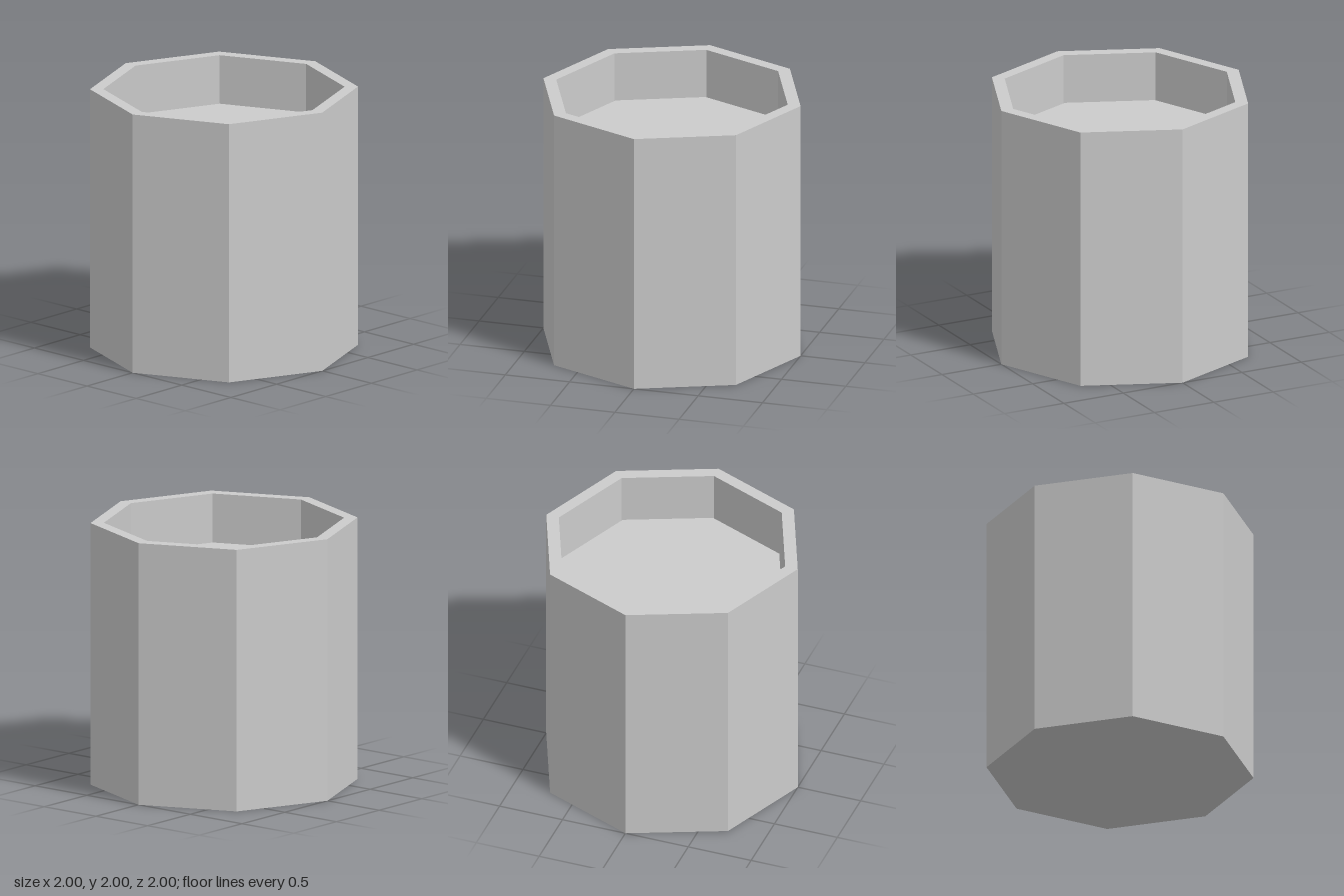
import * as THREE from 'three';

const SIDES = 8;

export function createModel() {
  const group = new THREE.Group();
  const material = new THREE.MeshStandardMaterial({ color: 0xcccccc, flatShading: true });

  // Octagonal cup: underside, outer wall, rim, inner wall, floor
  const profile = [[0, 0], [1, 0], [1, 2], [0.9, 2], [0.9, 0.1], [0, 0.1]]
    .map(([r, y]) => new THREE.Vector2(r, y));
  const cup = new THREE.Mesh(new THREE.LatheGeometry(profile, SIDES), material);
  cup.name = 'cup';
  group.add(cup);

  // Filling, standing on the floor with a narrow gap to the wall
  const bottom = 0.1, top = 1.63;
  const filling = new THREE.Mesh(
    new THREE.CylinderGeometry(0.88, 0.88, top - bottom, SIDES), material);
  filling.position.y = (top + bottom) / 2;
  filling.name = 'filling';
  group.add(filling);

  return group;
}
